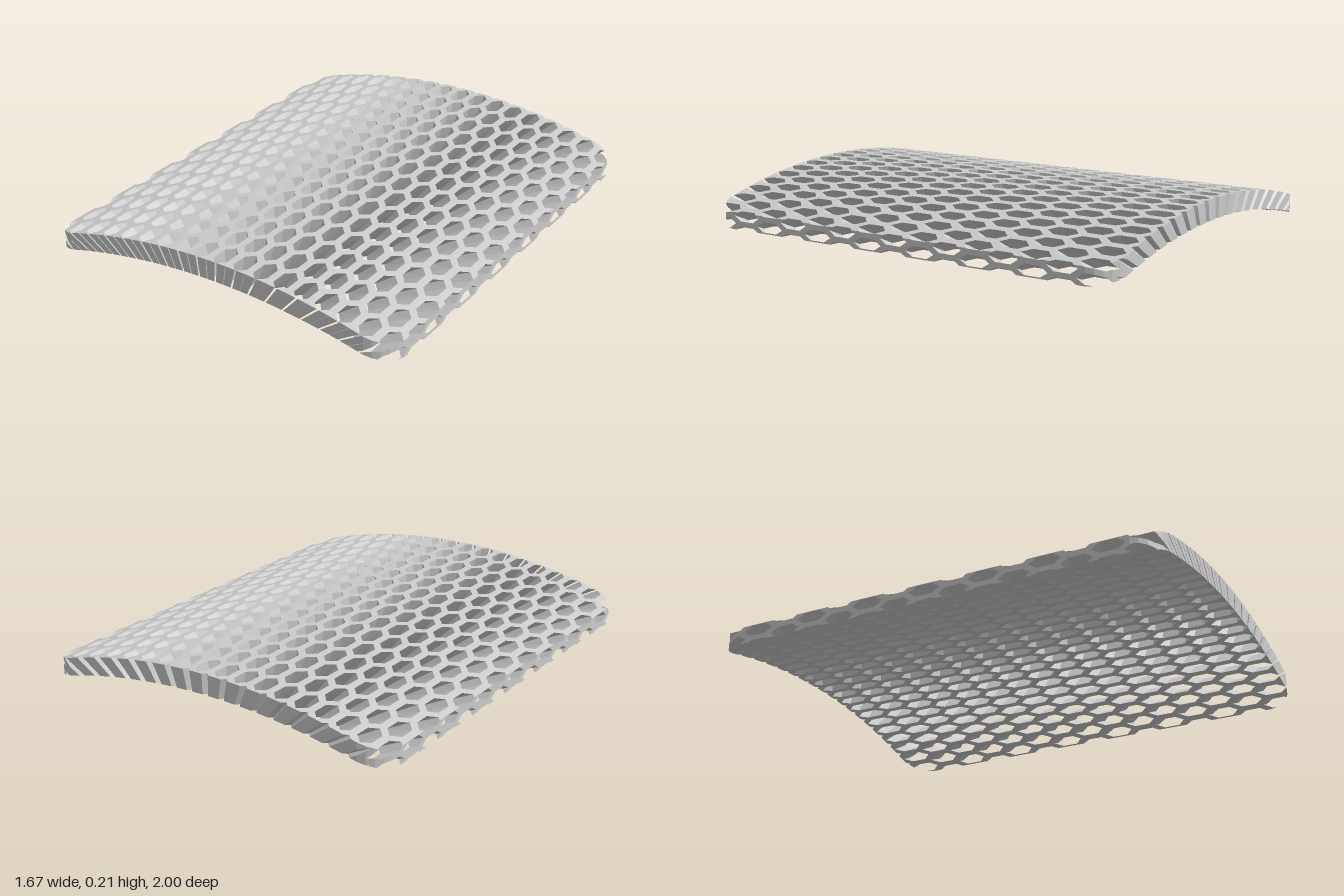
import * as THREE from 'three';

// Lattice: honeycomb cells, stretched along z, in staggered rows
const PITCH_X = 0.0955, PITCH_Z = 0.1325;
const CELL = hexagon(PITCH_X / 2, 0.044, 0.0885);
const HOLE = hexagon(0.032, 0.036, 0.07);
// Every hole aims at a line below the panel
const FOCUS_Y = -0.31;
const OUTER = { top: 0.193, radius: 2.66 };
const INNER = { top: 0.105, radius: 2.92 };
// Rounded outline seen from above
const HALF_X = 0.833, HALF_Z = 1, CORNER = 0.13;

function hexagon(halfWidth, shoulder, tip) {
  return [[halfWidth, shoulder], [halfWidth, -shoulder], [0, -tip],
    [-halfWidth, -shoulder], [-halfWidth, shoulder], [0, tip]];
}

// Point where the ray from the focus line towards (u, outer surface) meets an arc
function onArc(u, z, arc) {
  const uy = OUTER.top - OUTER.radius + Math.sqrt(OUTER.radius ** 2 - u * u);
  const dir = new THREE.Vector2(u, uy - FOCUS_Y).normalize();
  const rise = arc.top - arc.radius - FOCUS_Y;
  const along = dir.y * rise;
  const s = along + Math.sqrt(along * along - rise * rise + arc.radius ** 2);
  return new THREE.Vector3(dir.x * s, FOCUS_Y + dir.y * s, z);
}

// Vertical planes around the rounded outline
function outlinePlanes() {
  const planes = [];
  const steps = 6;
  for (const [sx, sz] of [[1, 1], [-1, 1], [-1, -1], [1, -1]]) {
    for (let i = 0; i <= steps; i++) {
      const a = (i / steps) * Math.PI / 2;
      const n = new THREE.Vector3(sx * Math.cos(a), 0, sz * Math.sin(a));
      const reach = Math.cos(a) * (HALF_X - CORNER) + Math.sin(a) * (HALF_Z - CORNER) + CORNER;
      planes.push(new THREE.Plane(n, -reach));
    }
  }
  return planes;
}

// Cut a convex solid (list of { points, shown }) by a plane and cap the cut
function clip(faces, plane) {
  const dist = (p) => plane.distanceToPoint(p);
  if (faces.every((f) => f.points.every((p) => dist(p) <= 1e-6))) return faces;
  const cut = [], kept = [];
  for (const { points, shown } of faces) {
    const out = [];
    points.forEach((a, i) => {
      const b = points[(i + 1) % points.length];
      const da = dist(a), db = dist(b);
      if (da <= 0) out.push(a);
      if ((da <= 0) !== (db <= 0)) {
        const p = a.clone().lerp(b, da / (da - db));
        out.push(p);
        if (!cut.some((q) => q.distanceTo(p) < 1e-6)) cut.push(p);
      }
    });
    if (out.length > 2) kept.push({ points: out, shown });
  }
  if (cut.length > 2) {
    const mid = cut.reduce((m, p) => m.add(p), new THREE.Vector3()).divideScalar(cut.length);
    const side = new THREE.Vector3(0, 1, 0).cross(plane.normal);
    const angle = (p) => Math.atan2(p.y - mid.y, p.clone().sub(mid).dot(side));
    cut.sort((p, q) => angle(p) - angle(q));
    kept.push({ points: cut, shown: true });
  }
  return kept;
}

// One strut: solid between one side of a cell and the matching side of its hole
function strut(cx, cz, i) {
  const j = (i + 1) % 6;
  const plan = [CELL[j], CELL[i], HOLE[i], HOLE[j]].reverse();
  const ring = (arc) => plan.map(([x, z]) => onArc(cx + x, cz + z, arc));
  const top = ring(OUTER), bottom = ring(INNER);
  // plan order is now hole j, hole i, cell i, cell j; turn it anticlockwise from above
  const n = new THREE.Vector3().crossVectors(
    top[1].clone().sub(top[0]), top[2].clone().sub(top[0]));
  const flip = n.y < 0;
  const faces = [{ points: top, shown: true }, { points: [...bottom].reverse(), shown: true }];
  for (let k = 0; k < 4; k++) {
    const m = (k + 1) % 4;
    // only the wall facing the hole is on the surface
    faces.push({ points: [bottom[k], bottom[m], top[m], top[k]], shown: k === 0 });
  }
  if (flip) faces.forEach((f) => f.points.reverse());
  return faces;
}

export function createModel() {
  const group = new THREE.Group();
  group.name = 'curvedHoneycombPanel';
  const planes = outlinePlanes();
  const positions = [];

  for (let row = -1; row <= 16; row++) {
    const cz = 0.935 - row * PITCH_Z;
    const shift = -0.008 + (row % 2 === 0 ? PITCH_X / 2 : 0);
    for (let col = -12; col <= 12; col++) {
      for (let i = 0; i < 6; i++) {
        let faces = strut(shift + col * PITCH_X, cz, i);
        for (const plane of planes) {
          faces = clip(faces, plane);
          if (!faces.length) break;
        }
        for (const { points, shown } of faces) {
          if (!shown) continue;
          for (let k = 1; k < points.length - 1; k++) {
            for (const p of [points[0], points[k], points[k + 1]]) positions.push(p.x, p.y, p.z);
          }
        }
      }
    }
  }

  const geometry = new THREE.BufferGeometry();
  geometry.setAttribute('position', new THREE.Float32BufferAttribute(positions, 3));
  geometry.computeBoundingBox();
  geometry.translate(0, -geometry.boundingBox.min.y, 0);
  geometry.computeVertexNormals();

  const lattice = new THREE.Mesh(geometry,
    new THREE.MeshStandardMaterial({ color: 0xcccccc, flatShading: true }));
  lattice.name = 'honeycombLattice';
  group.add(lattice);
  return group;
}
